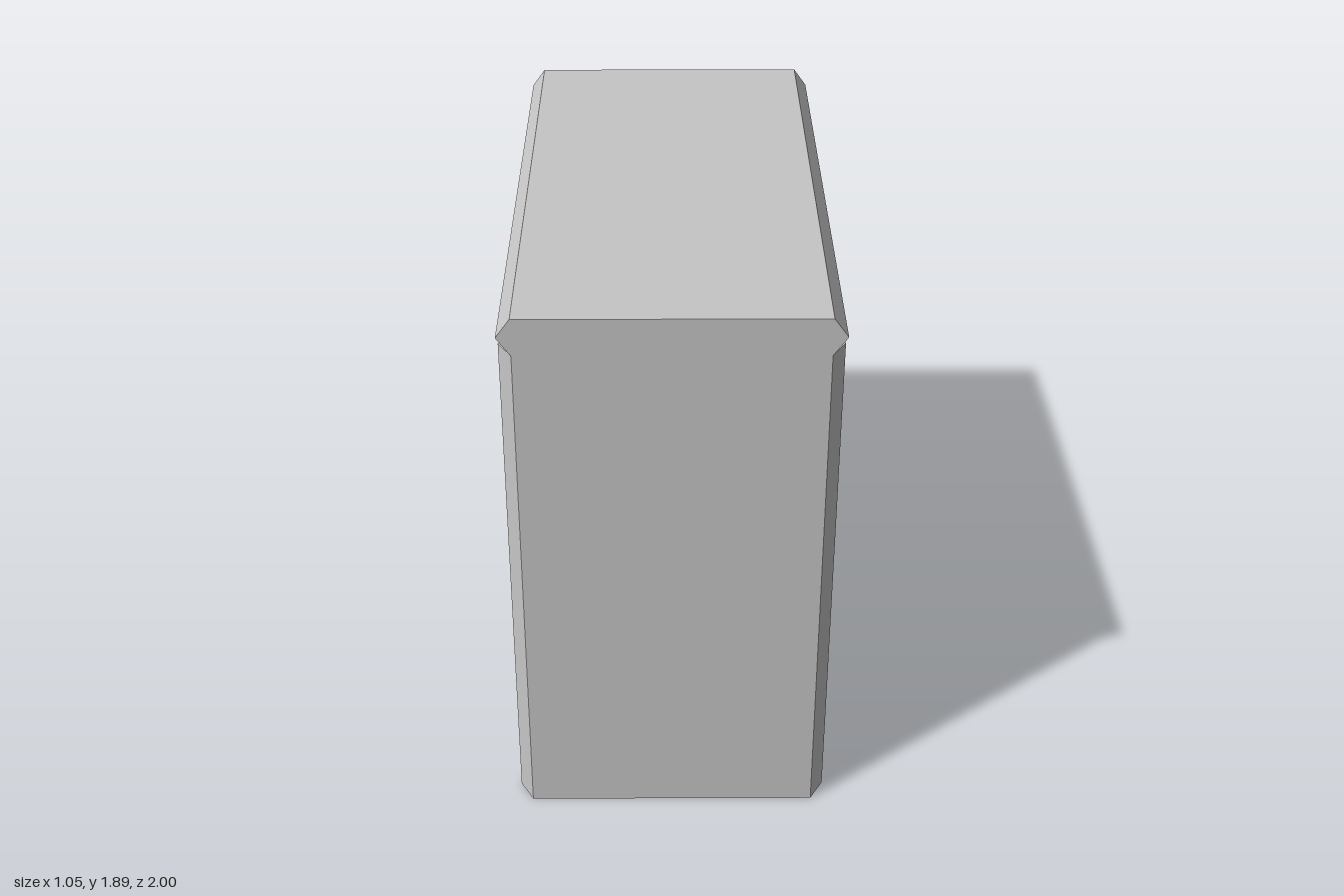
import * as THREE from 'three';
import { toCreasedNormals } from 'three/addons/utils/BufferGeometryUtils.js';

const grey = new THREE.MeshStandardMaterial({ color: 0xc6c6c6 });
grey.name = 'plain grey';
const cloth = grey;
cloth.side = THREE.DoubleSide;

// Extrudes a profile along z, centred on z = 0
function prism(points, length) {
  const shape = new THREE.Shape(points.map(([x, y]) => new THREE.Vector2(x, y)));
  return new THREE.ExtrudeGeometry(shape, { depth: length, bevelEnabled: false })
    .translate(0, 0, -length / 2);
}

// Board profile with pointed long edges
function pointedBoard(half, tip, thick) {
  const t = thick / 2;
  return [[-half, -t], [half, -t], [tip, 0], [half, t], [-half, t], [-tip, 0]];
}

// Moves every vertex of a geometry by a rule
function deform(geometry, rule) {
  const p = geometry.attributes.position;
  const v = new THREE.Vector3();
  for (let i = 0; i < p.count; i++) {
    v.fromBufferAttribute(p, i);
    rule(v);
    p.setXYZ(i, v.x, v.y, v.z);
  }
  geometry.computeVertexNormals();
  return geometry;
}

// Mattress: slab whose upper edge slopes inwards
function mattressGeometry() {
  const g = new THREE.BoxGeometry(0.87, 0.08, 1.62, 1, 2, 1);
  deform(g, (v) => {
    if (v.y > 0.03) { v.x *= 0.87; v.z *= 0.91; }
    else if (v.y > -0.01) v.y = 0.022;
    else { v.x *= 0.995; v.z *= 0.995; }
  });
  return toCreasedNormals(g, 0.3);
}

// Pillow: swollen slab with pinched corners
function pillowGeometry(length, width, height) {
  const g = new THREE.SphereGeometry(1, 32, 24);
  deform(g, (v) => {
    const ring = Math.hypot(v.x, v.z);
    const m = Math.max(Math.abs(v.x), Math.abs(v.z), 1e-6);
    const u = v.x * ring / m, w = v.z * ring / m;
    const swell = Math.sqrt(Math.max(0, (1 - u * u) * (1 - w * w)));
    v.set(
      u * length / 2 * (1 - 0.08 * (1 - w * w)),
      Math.sign(v.y) * (0.08 + 0.92 * swell) * height / 2 * Math.min(1, Math.abs(v.y) * 8),
      w * width / 2 * (1 - 0.1 * (1 - u * u))
    );
  });
  return g;
}

// Hanging cloth in the y-z plane with vertical folds
function curtainGeometry(z0, z1, y0, y1, folds, depth, ripple) {
  const g = new THREE.PlaneGeometry(1, 1, folds * 10, 12);
  return deform(g, (v) => {
    const s = v.x + 0.5, t = 0.5 - v.y;
    const a = s * folds * Math.PI * 2;
    const flare = 1 + 0.02 * (t - 0.5);
    const mid = (z0 + z1) / 2;
    v.set(
      Math.sin(a) * depth * (0.25 + 0.75 * t),
      y1 - t * (y1 - y0) + ripple * t * Math.sin(a * 0.8 + 1),
      mid + (z0 + s * (z1 - z0) - mid) * flare
    );
  });
}

export function createModel() {
  const model = new THREE.Group();
  const add = (name, geometry, x, y, z, material = grey) => {
    const mesh = new THREE.Mesh(geometry, material);
    mesh.name = name;
    mesh.position.set(x, y, z);
    model.add(mesh);
    return mesh;
  };

  // End panels
  for (const [name, side] of [['frontPanel', 1], ['backPanel', -1]]) {
    const g = prism(pointedBoard(0.48, 0.525, 0.155), 1.766).rotateX(-Math.PI / 2);
    add(name, g, 0, 0.883, side * 0.9225);
  }

  // Roof board
  add('roof', prism(pointedBoard(0.48, 0.525, 0.125), 2), 0, 1.8275, 0);

  // Bunk bases with tapered undersides, and mattresses
  const bunks = [
    { name: 'lower', bottom: 0.01, knee: 0.22, top: 0.305 },
    { name: 'upper', bottom: 0.955, knee: 1.085, top: 1.16 },
  ];
  for (const { name, bottom, knee, top } of bunks) {
    const profile = [[-0.34, bottom], [0.34, bottom], [0.45, knee], [0.45, top], [-0.45, top], [-0.45, knee]];
    add(name + 'Base', toCreasedNormals(prism(profile, 1.69), 0.75), 0, 0, 0);
    add(name + 'Mattress', mattressGeometry(), 0, top + 0.034, 0);
  }

  // Pillows
  add('lowerPillow', pillowGeometry(0.8, 0.44, 0.14), 0, 0.444, -0.575);
  add('upperPillow', pillowGeometry(0.76, 0.4, 0.145), 0.04, 1.3, -0.235).rotation.y = -0.877;

  // Curtain rods on the right side
  const rod = (length, radius) => new THREE.CylinderGeometry(radius, radius, length, 12).rotateX(Math.PI / 2);
  add('upperRod', rod(1.84, 0.024), -0.486, 1.744, 0);
  add('lowerRod', rod(1.8, 0.026), -0.495, 1.0, 0);

  // Curtains and the gathered heading of the lower one
  add('upperCurtain', curtainGeometry(-0.79, 0.77, 1.14, 1.76, 7, 0.009, 0.012), -0.48, 0, 0, cloth);
  add('lowerCurtain', curtainGeometry(-0.83, -0.48, 0.385, 1.02, 5, 0.022, 0.005), -0.497, 0, 0, cloth);
  add('lowerCurtainHeading', rod(0.35, 0.032), -0.492, 1.005, -0.655);

  return model;
}
